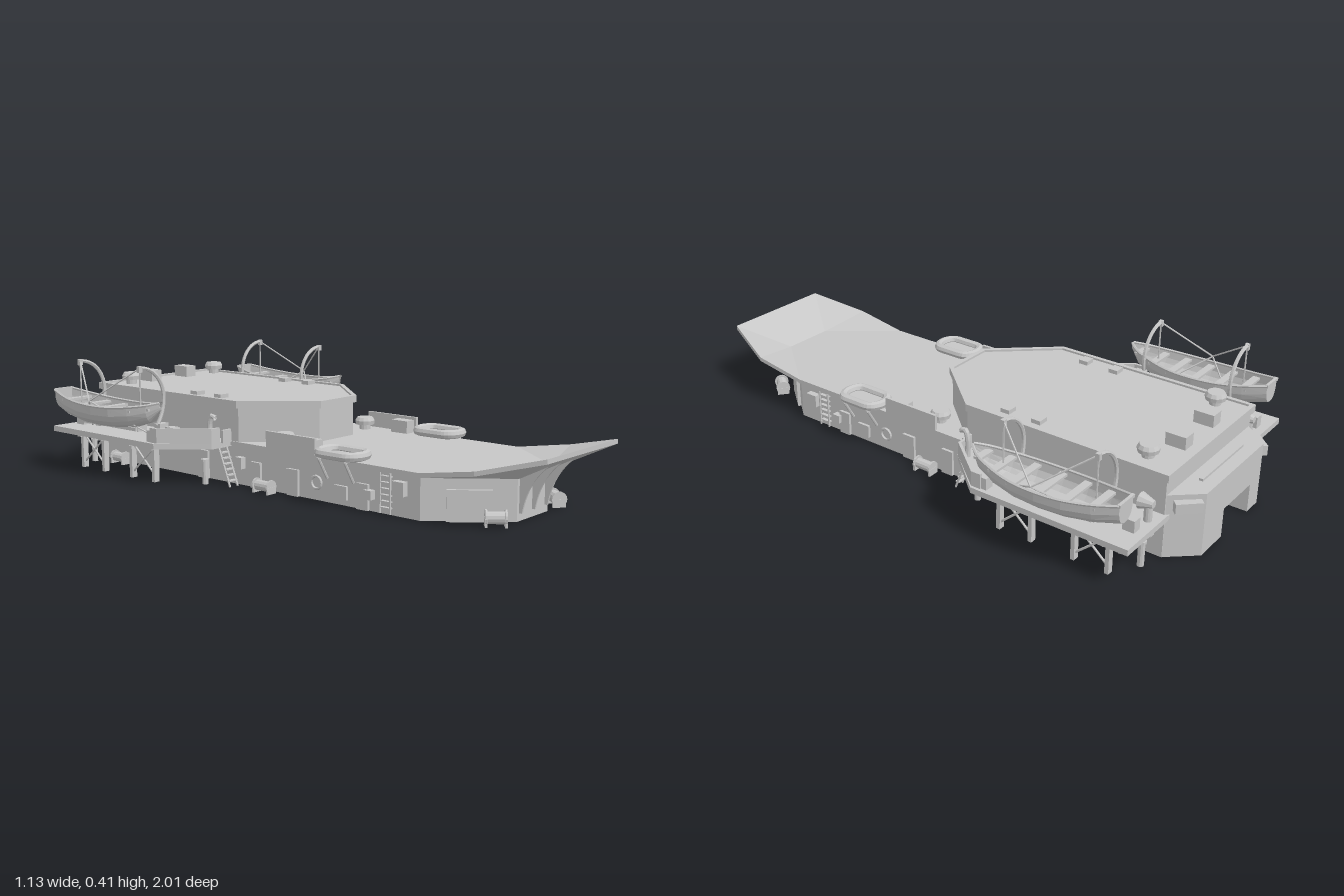
import * as THREE from 'three';

const V = (x, y, z) => new THREE.Vector3(x, y, z);

export function createModel() {
  const root = new THREE.Group();
  root.name = 'shipSuperstructure';
  const paint = new THREE.MeshStandardMaterial({ color: 0xc6c6c6, side: THREE.DoubleSide, flatShading: true });
  paint.name = 'plain grey';

  const add = (name, geo) => {
    const m = new THREE.Mesh(geo, paint);
    m.name = name;
    root.add(m);
  };
  // Adds a part and its copy across x = 0
  const pair = (name, geo) => {
    const flip = geo.index ? geo.toNonIndexed() : geo.clone();
    flip.scale(-1, 1, 1);
    const p = flip.attributes.position;
    for (let i = 0; i < p.count; i += 3) {
      const a = V().fromBufferAttribute(p, i), b = V().fromBufferAttribute(p, i + 1);
      p.setXYZ(i, b.x, b.y, b.z);
      p.setXYZ(i + 1, a.x, a.y, a.z);
    }
    flip.computeVertexNormals();
    add(name + 'Left', geo);
    add(name + 'Right', flip);
  };
  const box = (w, h, d, x, y, z, ry = 0) => new THREE.BoxGeometry(w, h, d).rotateY(ry).translate(x, y + h / 2, z);
  const cyl = (r0, r1, h, x, y, z, n = 12) => new THREE.CylinderGeometry(r1, r0, h, n).translate(x, y + h / 2, z);
  // Straight round bar between two points
  const bar = (a, b, r = 0.004, n = 6) => {
    const d = b.clone().sub(a);
    return new THREE.CylinderGeometry(r, r, d.length(), n)
      .applyQuaternion(new THREE.Quaternion().setFromUnitVectors(V(0, 1, 0), d.clone().normalize()))
      .translate((a.x + b.x) / 2, (a.y + b.y) / 2, (a.z + b.z) / 2);
  };
  // Upright prism from an x/z outline, with an optional hole
  const toPts = o => o.map(([x, z]) => new THREE.Vector2(x, -z));
  const prism = (outline, y0, y1, hole) => {
    const s = new THREE.Shape(toPts(outline));
    if (hole) s.holes.push(new THREE.Path(toPts(hole)));
    return new THREE.ExtrudeGeometry(s, { depth: y1 - y0, bevelEnabled: false }).rotateX(-Math.PI / 2).translate(0, y0, 0);
  };
  const house = (w, nose, zNose, zSide, zBack) =>
    [[-w, zBack], [-w, zSide], [-nose, zNose], [nose, zNose], [w, zSide], [w, zBack]];

  // Lower deckhouse, open below, with its deck opening into the upper house
  const well = house(0.262, 0.085, 0.025, -0.178, -0.9);
  add('lowerWalls', prism(house(0.272, 0.09, 0.83, 0.6, -0.91), 0, 0.135, house(0.262, 0.085, 0.82, 0.595, -0.9)));
  add('lowerDeck', prism(house(0.28, 0.093, 0.835, 0.6, -0.92), 0.135, 0.15, well));
  [[0.36, 0.12], [0.14, 0.1], [-0.4, 0.12], [-0.65, 0.13]].forEach(([z, d]) => add('compartment', box(0.52, 0.135, d, 0, 0, z)));

  // Hollow upper deckhouse and its raised roof rim
  add('upperHouse', prism(house(0.275, 0.09, 0.035, -0.175, -0.91), 0.15, 0.27, well));
  add('upperRoof', prism(house(0.285, 0.095, 0.045, -0.175, -0.92), 0.268, 0.286));
  add('roofRim', prism(house(0.285, 0.095, 0.045, -0.175, -0.92), 0.286, 0.293, house(0.27, 0.088, 0.03, -0.18, -0.905)));

  // Stern house with a doorway recess
  add('sternHouse', prism([[-0.27, -0.91], [0.27, -0.91], [0.19, -1], [-0.19, -1]], 0.1, 0.217));
  add('sternBase', prism([[-0.27, -0.91], [0.27, -0.91], [0.19, -1], [0.06, -1], [0.06, -0.925], [-0.12, -0.925], [-0.12, -1], [-0.19, -1]], 0, 0.1));
  for (let i = 0; i < 4; i++) add('sternLouvre', box(0.11, 0.008, 0.012, -0.03, 0.025 + i * 0.017, -0.929));
  add('sternHatch', box(0.27, 0.008, 0.014, 0, 0.217, -0.95));
  pair('sternLocker', box(0.085, 0.035, 0.03, 0.235, 0.165, -0.965, -0.8));

  // Flared bow plate, made of an upper skin, a lower skin and an edge
  const ring = [
    [-0.28, 0.15, 0.6], [-0.093, 0.15, 0.835], [0.093, 0.15, 0.835], [0.28, 0.15, 0.6],
    [0.282, 0.183, 0.8], [0.213, 0.235, 1], [-0.213, 0.235, 1], [-0.282, 0.183, 0.8]];
  const tris = [[1, 6, 5], [1, 5, 2], [2, 5, 4], [2, 4, 3], [1, 0, 7], [1, 7, 6]];
  const flare = [];
  const put = (i, dy) => flare.push(ring[i][0], ring[i][1] + dy, ring[i][2]);
  tris.forEach(([a, b, c]) => {
    [a, b, c].forEach(i => put(i, 0));
    [a, c, b].forEach(i => put(i, -0.015));
  });
  [[3, 4], [4, 5], [5, 6], [6, 7], [7, 0]].forEach(([a, b]) => {
    put(a, -0.015); put(b, 0); put(b, -0.015);
    put(a, -0.015); put(a, 0); put(b, 0);
  });
  const flareGeo = new THREE.BufferGeometry();
  flareGeo.setAttribute('position', new THREE.Float32BufferAttribute(flare, 3));
  flareGeo.computeVertexNormals();
  add('bowFlare', flareGeo);

  // Curved gussets beneath the flare
  [-0.075, 0, 0.075].forEach(x => {
    const s = new THREE.Shape();
    s.moveTo(0.825, 0.025);
    s.lineTo(0.84, 0.025);
    s.quadraticCurveTo(0.855, 0.125, 0.93, 0.185);
    s.lineTo(0.825, 0.135);
    add('bowGusset', new THREE.ExtrudeGeometry(s, { depth: 0.007, bevelEnabled: false }).rotateY(-Math.PI / 2).translate(x + 0.0035, 0, 0));
  });

  // Boat platforms, bulwarks and trestles
  const deck = [[0.27, -0.92], [0.5, -0.92], [0.5, -0.36], [0.37, -0.21], [0.27, -0.21]];
  pair('platform', prism(deck, 0.132, 0.152));
  pair('bulwark', prism([[0.33, -0.21], [0.37, -0.21], [0.49, -0.355], [0.49, -0.39], [0.48, -0.39], [0.48, -0.358], [0.366, -0.22], [0.33, -0.22]], 0.152, 0.203));
  [-0.487, -0.763].forEach(z => {
    [-0.06, 0.06].forEach(d => {
      pair('platformPost', box(0.022, 0.132, 0.014, 0.435, 0, z + d));
      pair('platformBracket', box(0.075, 0.016, 0.02, 0.422, 0.116, z + d));
      pair('platformBrace', bar(V(0.435, 0.02, z - d), V(0.435, 0.125, z + d), 0.004));
    });
    pair('platformBeam', box(0.016, 0.014, 0.12, 0.435, 0.118, z));
  });

  // Lifeboats from cross-sections: [z, half width, sheer y, keel y]
  const stations = [[-0.35, 0.004, 0.29, 0.265], [-0.39, 0.034, 0.28, 0.22], [-0.46, 0.06, 0.27, 0.198], [-0.54, 0.078, 0.263, 0.187],
    [-0.63, 0.083, 0.262, 0.184], [-0.72, 0.078, 0.266, 0.187], [-0.81, 0.061, 0.276, 0.198], [-0.89, 0.038, 0.29, 0.22]];
  const bx = 0.472, N = 10, hp = [], hi = [];
  stations.forEach(([z, w, top, keel], r) => {
    for (let i = 0; i <= N; i++) {
      const a = -Math.PI / 2 + Math.PI * i / N;
      hp.push(bx + w * Math.sign(Math.sin(a)) * Math.abs(Math.sin(a)) ** 0.8, top - (top - keel) * Math.abs(Math.cos(a)) ** 0.75, z);
      if (r && i) {
        const k = r * (N + 1) + i, j = k - N - 1;
        hi.push(j - 1, k - 1, k, j - 1, k, j);
      }
    }
  });
  const last = (stations.length - 1) * (N + 1);
  for (let i = 1; i < N; i++) hi.push(last, last + i + 1, last + i);
  const hull = new THREE.BufferGeometry();
  hull.setAttribute('position', new THREE.Float32BufferAttribute(hp, 3));
  hull.setIndex(hi);
  hull.computeVertexNormals();
  pair('lifeboatHull', hull);
  [-1, 1].forEach(s => {
    const path = new THREE.CatmullRomCurve3(stations.map(([z, w, y]) => V(bx + s * w, y, z)));
    pair('lifeboatGunwale', new THREE.TubeGeometry(path, 24, 0.005, 5));
  });
  pair('lifeboatTransomRail', box(0.08, 0.01, 0.01, bx, 0.285, -0.889));
  pair('lifeboatFloor', box(0.07, 0.006, 0.36, bx, 0.205, -0.63));
  stations.slice(1, 7).forEach(([z, w, y]) => pair('lifeboatBench', box(w * 1.9, 0.008, 0.026, bx, y - 0.018, z)));
  pair('lifeboatKeel', box(0.008, 0.012, 0.3, bx, 0.178, -0.63));

  // Curved davits with hoisting lines, and lashings passed around the hull
  [-0.46, -0.79].forEach(z => {
    const arm = new THREE.CatmullRomCurve3(
      [[0.392, 0.19], [0.37, 0.235], [0.361, 0.29], [0.371, 0.335], [0.397, 0.372], [0.43, 0.393], [0.468, 0.402]].map(([x, y]) => V(x, y, z)));
    pair('davitArm', new THREE.TubeGeometry(arm, 20, 0.007, 6));
    pair('davitFoot', box(0.04, 0.045, 0.03, 0.375, 0.152, z));
    pair('davitFall', bar(V(0.467, 0.4, z), V(0.467, 0.25, z), 0.003, 5));
    pair('davitBlock', box(0.014, 0.022, 0.014, 0.468, 0.385, z));
    pair('lashingUpper', bar(V(0.467, 0.4, z), V(0.56, 0.28, -0.625), 0.003, 5));
    pair('lashingLower', bar(V(0.56, 0.28, -0.625), V(0.42, 0.16, -1.25 - z), 0.003, 5));
  });

  // Cable reel with end discs and a stand, its axle turned from x by an angle
  const reel = (name, x, y, z, len, r, angle = Math.PI / 2) => {
    const part = (part, g) => pair(name + part, g.rotateY(angle).translate(x, y, z));
    part('Drum', new THREE.CylinderGeometry(r * 0.75, r * 0.75, len, 12).rotateZ(Math.PI / 2).translate(0, r, 0));
    [-1, 1].forEach(s => {
      part('Disc', new THREE.CylinderGeometry(r, r, 0.006, 14).rotateZ(Math.PI / 2).translate(s * len / 2, r, 0));
      part('Foot', box(0.008, r, r * 1.7, s * len / 2, 0, 0));
    });
  };
  reel('bowReel', 0.175, 0, 0.81, 0.06, 0.026, Math.atan2(0.23, 0.18));
  reel('sideReel', 0.312, 0, -0.02, 0.065, 0.024);
  reel('boatReel', 0.362, 0.152, -0.62, 0.075, 0.024);
  reel('sternReel', 0.312, 0, -0.77, 0.06, 0.024);

  // Oval life rafts on racks
  const pts = [];
  for (let i = 0; i < 24; i++) {
    const a = i / 24 * Math.PI * 2;
    pts.push(V(0.265 + 0.05 * Math.cos(a), 0.169, 0.287 + 0.045 * Math.sign(Math.sin(a)) * Math.min(1, Math.abs(Math.sin(a)) * 4) + 0.036 * Math.sin(a)));
  }
  pair('lifeRaft', new THREE.TubeGeometry(new THREE.CatmullRomCurve3(pts, true), 48, 0.016, 8, true));
  pair('raftFloor', box(0.075, 0.006, 0.14, 0.265, 0.16, 0.287));
  [0.23, 0.34].forEach(z => {
    pair('raftRack', bar(V(0.275, 0.08, z), V(0.32, 0.155, z), 0.005));
    pair('raftRail', box(0.05, 0.006, 0.008, 0.3, 0.15, z));
  });
  pair('deckBulwark', box(0.01, 0.055, 0.22, 0.275, 0.15, 0.07));
  pair('deckLocker', box(0.045, 0.045, 0.07, 0.25, 0.15, 0.135));

  // Mushroom vents and roof boxes
  [[0.29, -0.81], [0.15, -0.012]].forEach(([y, z]) => {
    pair('ventStem', cyl(0.02, 0.02, 0.025, 0.215, y, z));
    pair('ventCap', cyl(0.034, 0.036, 0.014, 0.215, y + 0.018, z));
    pair('ventTop', cyl(0.036, 0.029, 0.012, 0.215, y + 0.032, z));
  });
  pair('roofBox', box(0.048, 0.042, 0.07, 0.09, 0.287, -0.845));
  [-0.425, -0.305].forEach(z => pair('roofHatch', box(0.038, 0.014, 0.034, 0.23, 0.287, z)));

  // Cowl vents, gooseneck vents and lockers on the platforms
  pair('cowlStem', cyl(0.013, 0.013, 0.06, 0.33, 0.152, -0.885));
  pair('cowlMouth', new THREE.CylinderGeometry(0.027, 0.012, 0.045, 10).rotateX(Math.PI / 2).translate(0.33, 0.212, -0.88));
  const neck = new THREE.CatmullRomCurve3([V(0.352, 0.152, -0.235), V(0.352, 0.22, -0.235), V(0.352, 0.245, -0.225), V(0.352, 0.238, -0.208)]);
  pair('gooseneckVent', new THREE.TubeGeometry(neck, 12, 0.009, 8));
  [[0.4, -0.87], [0.385, -0.39], [0.47, -0.39]].forEach(([x, z]) => pair('platformLocker', box(0.032, 0.04, 0.04, x, 0.152, z)));

  // Inclined ladders up to the platforms
  [0.292, 0.328].forEach(x => pair('platformLadderRail', bar(V(x, 0, -0.165), V(x, 0.15, -0.225), 0.004)));
  for (let i = 1; i < 8; i++) pair('platformLadderStep', box(0.036, 0.004, 0.016, 0.31, 0.15 * i / 8, -0.165 - 0.06 * i / 8));
  pair('ladderGate', box(0.04, 0.045, 0.01, 0.31, 0.15, -0.2));
  for (let i = 0; i < 6; i++) pair('wallRung', box(0.016, 0.004, 0.04, 0.277, 0.02 + i * 0.02, 0.475));
  [0.455, 0.495].forEach(z => pair('wallLadderRail', box(0.006, 0.13, 0.004, 0.285, 0.004, z)));

  // Doors, windows, boxes and life rings on the side walls
  pair('bowDoor', box(0.14, 0.1, 0.02, 0.181, 0, 0.718, Math.atan2(0.23, 0.18)));
  [[0.38, 0.045, 0, 0.085], [0.29, 0.05, 0.02, 0.045], [0.08, 0.05, 0, 0.09], [-0.09, 0.045, 0, 0.09], [-0.35, 0.05, 0, 0.1], [-0.62, 0.05, 0, 0.1]]
    .forEach(([z, d, y, h]) => pair('sideDoor', box(0.018, h, d, 0.273, y, z)));
  [[0.53, 0.045, 0.07, 0.045], [0.41, 0.03, 0.04, 0.03], [-0.16, 0.03, 0.06, 0.04], [-0.86, 0.04, 0.07, 0.04]]
    .forEach(([z, d, y, h]) => pair('wallBox', box(0.03, h, d, 0.28, y, z)));
  pair('lifeRing', new THREE.TorusGeometry(0.021, 0.005, 6, 16).rotateY(Math.PI / 2).translate(0.278, 0.06, 0.185));
  [-0.27, -0.88].forEach(z => {
    pair('sidePost', cyl(0.011, 0.011, 0.08, 0.345, 0, z, 10));
    pair('sidePostCap', cyl(0.015, 0.015, 0.008, 0.345, 0.08, z, 10));
  });

  return root;
}
